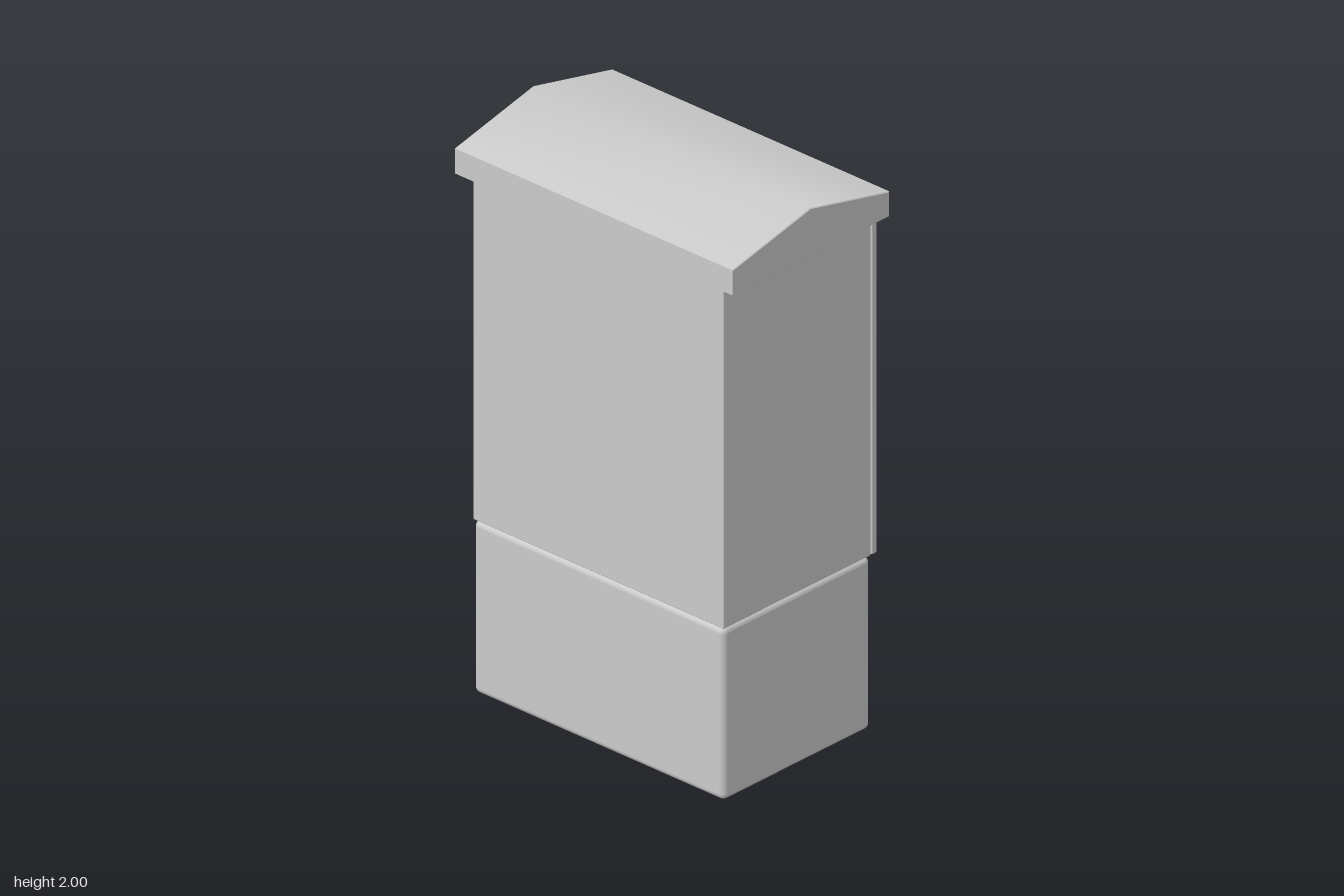
import * as THREE from 'three';
import { RoundedBoxGeometry } from 'three/addons/geometries/RoundedBoxGeometry.js';
import { toCreasedNormals } from 'three/addons/utils/BufferGeometryUtils.js';

const material = new THREE.MeshStandardMaterial({ color: 0xcccccc });

function addMesh(group, name, geometry) {
  const mesh = new THREE.Mesh(geometry, material);
  mesh.name = name;
  group.add(mesh);
}

// Softly rounded box between two opposite corners
function block([x0, y0, z0], [x1, y1, z1], radius) {
  return new RoundedBoxGeometry(x1 - x0, y1 - y0, z1 - z0, 2, radius)
    .translate((x0 + x1) / 2, (y0 + y1) / 2, (z0 + z1) / 2);
}

// Front-view outline extruded from z0 to z1 with a small bevelled edge
function prism(points, z0, z1, bevel, crease) {
  const shape = new THREE.Shape(points.map(([x, y]) => new THREE.Vector2(x, y)));
  const geometry = new THREE.ExtrudeGeometry(shape, {
    depth: z1 - z0 - 2 * bevel,
    bevelEnabled: true, bevelSize: bevel, bevelOffset: -bevel,
    bevelThickness: bevel, bevelSegments: 1,
  }).translate(0, 0, z0 + bevel);
  return toCreasedNormals(geometry, crease);
}

export function createModel() {
  const group = new THREE.Group();
  group.name = 'utilityCabinet';

  // Plinth and cabinet body, with a shallow groove between them
  addMesh(group, 'plinth', block([-0.365, 0, -0.538], [0.312, 0.612, 0.538], 0.022));
  addMesh(group, 'body', block([-0.365, 0.614, -0.538], [0.312, 1.835, 0.538], 0.004));

  // Door panel on the left side, separated by a narrow seam
  addMesh(group, 'doorSeam', new THREE.BoxGeometry(0.02, 1.2, 1.06).translate(0.31, 1.224, 0));
  addMesh(group, 'door', block([0.316, 0.614, -0.538], [0.339, 1.832, 0.538], 0.004));

  // Wedge-shaped handle
  addMesh(group, 'handle', prism([
    [0.33, 0.938], [0.374, 0.938], [0.385, 0.952], [0.358, 1.145], [0.35, 1.152], [0.33, 1.152],
  ], -0.4, -0.258, 0.005, 0.9));

  // Gabled roof overhanging the front and back
  addMesh(group, 'roof', prism([
    [-0.387, 1.83], [0.334, 1.83], [0.334, 1.919], [-0.027, 2], [-0.387, 1.919],
  ], -0.597, 0.597, 0.003, 0.6));

  return group;
}
